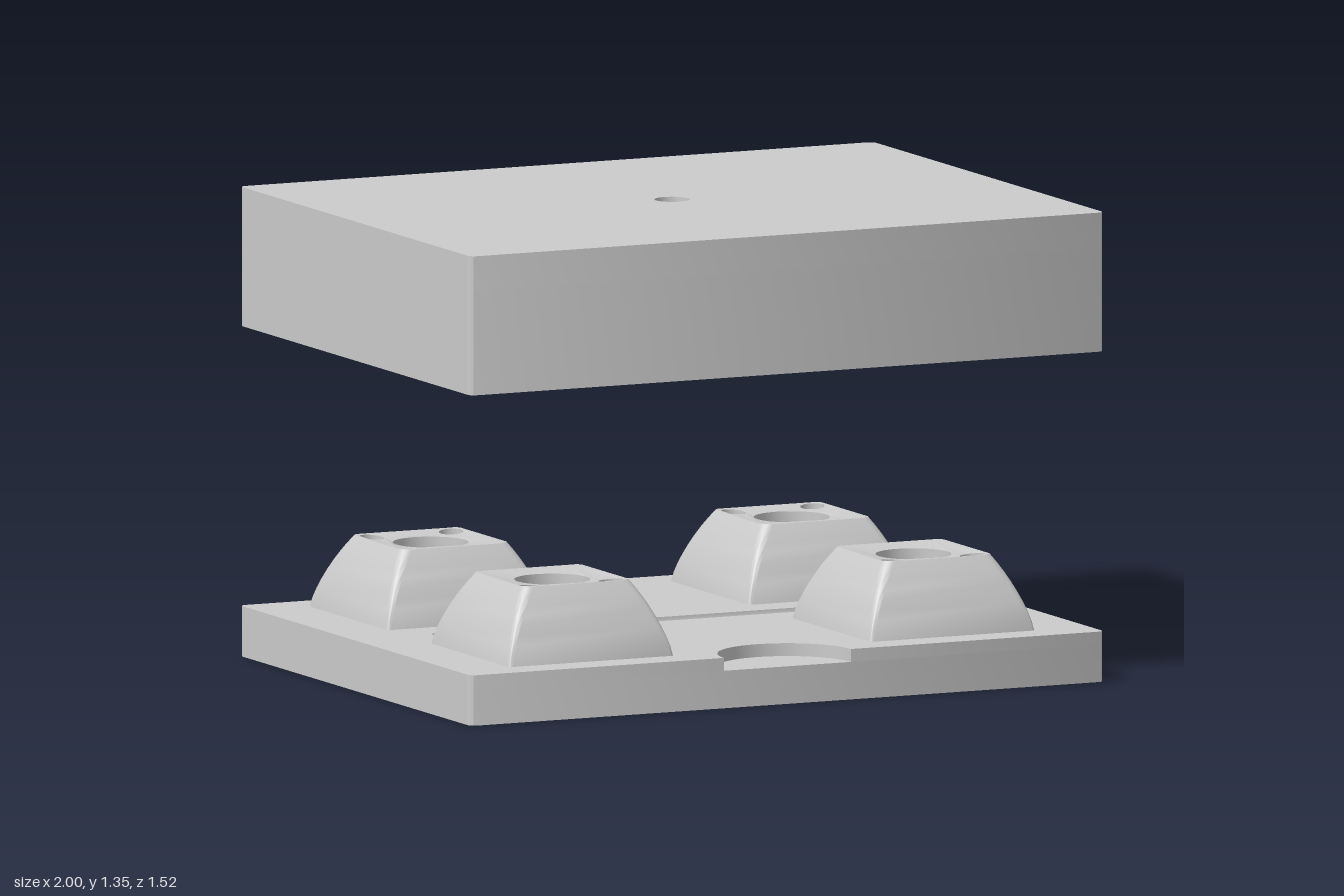
import * as THREE from 'three';
import { toCreasedNormals } from 'three/addons/utils/BufferGeometryUtils.js';

const solid = new THREE.MeshStandardMaterial({ color: 0xcccccc });
const thin = new THREE.MeshStandardMaterial({ color: 0xcccccc, side: THREE.DoubleSide });

const W = 1, D = 0.76;              // half width and half depth of both mould halves
const PLATE = 0.145, FLOOR = 0.108; // plate top and pry notch floor
const LID = 0.95, LID_TOP = 1.35;
const CX = 0.57, CZ = 0.4;          // key positions
const R = 0.036, RUN = 0.75;        // runner radius and half length
const PIN = 0.125, PIN_R = 0.035, BORE = 0.085;

function add(group, name, geometry, material = solid) {
  const mesh = new THREE.Mesh(geometry, material);
  mesh.name = name;
  group.add(mesh);
  return mesh;
}

const circle = (x, z, r) => new THREE.Path().absarc(x, z, r, 0, Math.PI * 2, true);

// Rounded square outline, counter-clockwise
function ring(h, c, n = 6) {
  const pts = [];
  for (let k = 0; k < 4; k++) {
    const mid = Math.PI / 4 + k * Math.PI / 2;
    const sx = Math.sign(Math.cos(mid)), sz = Math.sign(Math.sin(mid));
    for (let i = 0; i <= n; i++) {
      const a = (k + i / n) * Math.PI / 2;
      pts.push(new THREE.Vector2(sx * (h - c) + c * Math.cos(a), sz * (h - c) + c * Math.sin(a)));
    }
  }
  return pts;
}

// Block outline, optionally with a half-round notch in the front and back edges
function outline(notched) {
  const c = 0.02, s = new THREE.Shape();
  s.moveTo(-W + c, -D);
  if (notched) s.lineTo(-0.2, -D).absarc(0, -D, 0.2, Math.PI, 0, true);
  s.lineTo(W - c, -D).absarc(W - c, -D + c, c, -Math.PI / 2, 0, false);
  s.lineTo(W, D - c).absarc(W - c, D - c, c, 0, Math.PI / 2, false);
  if (notched) s.lineTo(0.2, D).absarc(0, D, 0.2, 0, Math.PI, true);
  s.lineTo(-W + c, D).absarc(-W + c, D - c, c, Math.PI / 2, Math.PI, false);
  s.lineTo(-W, -D + c).absarc(-W + c, -D + c, c, Math.PI, Math.PI * 1.5, false);
  return s;
}

function slab(shape, holes, y0, y1) {
  shape.holes.push(...holes);
  const g = new THREE.ExtrudeGeometry(shape, { depth: y1 - y0, bevelEnabled: false, curveSegments: 20 });
  return toCreasedNormals(g.rotateX(-Math.PI / 2).translate(0, y0, 0), 0.6);
}

const eachKey = (fn) => [-1, 1].flatMap((sx) => [-1, 1].flatMap((sz) => fn(sx * CX, sz * CZ, sz)));

// Key form: curved, tapering sides and a shallow dish on top
const keyForm = (base, top, height) => ({
  base, top, height,
  y: (x, z, t = 1) => t * (height + 0.008 * t * ((x * x + z * z) / (top * top) - 2)),
});

function keySides(form) {
  const rows = 8, pos = [], idx = [];
  let n = 0;
  for (let j = 0; j <= rows; j++) {
    const t = j / rows;
    const pts = ring(form.base - (form.base - form.top) * t ** 1.4, 0.01 + 0.02 * t);
    n = pts.length;
    for (const p of pts) pos.push(p.x, form.y(p.x, p.y, t), p.y);
  }
  for (let j = 0; j < rows; j++) for (let i = 0; i < n; i++) {
    const a = j * n + i, b = j * n + (i + 1) % n;
    idx.push(a, a + n, b, b, a + n, b + n);
  }
  const g = new THREE.BufferGeometry();
  g.setAttribute('position', new THREE.Float32BufferAttribute(pos, 3));
  g.setIndex(idx);
  g.computeVertexNormals();
  return toCreasedNormals(g, 0.6);
}

function keyTop(form, holes = []) {
  const s = new THREE.Shape(ring(form.top, 0.03));
  s.holes.push(...holes);
  const g = new THREE.ShapeGeometry(s, 20).rotateX(-Math.PI / 2);
  const p = g.attributes.position;
  for (let i = 0; i < p.count; i++) p.setY(i, form.y(p.getX(i), p.getZ(i)));
  g.computeVertexNormals();
  return g;
}

// Open wall of a pin hole, its rim following the dish
function pinWall(form, x, z) {
  const g = new THREE.CylinderGeometry(PIN_R, PIN_R, 1, 32, 1, true).translate(x, 0.5, z);
  const p = g.attributes.position;
  for (let i = 0; i < p.count; i++) if (p.getY(i) > 0.5) p.setY(i, form.y(p.getX(i), p.getZ(i)));
  return g;
}

// Outline of the runner channel with its two crossing gates
function runnerOutline(gate) {
  const half = [[-RUN, -R]];
  for (const g of [-CX, CX]) half.push([g - R, -R], [g - R, -gate], [g + R, -gate], [g + R, -R]);
  half.push([RUN, -R]);
  const pts = [...half, ...half.map(([x, z]) => [-x, -z])];
  return new THREE.Path(pts.map(([x, z]) => new THREE.Vector2(x, z)));
}

function runnerDepth(x, z) {
  const main = Math.hypot(Math.max(0, Math.abs(x) - RUN + R), z);
  const d = Math.min(main, Math.abs(Math.abs(x) - CX));
  return Math.sqrt(Math.max(0, R * R - d * d));
}

// Half-round channels as displaced grids; dir -1 sinks, +1 rises
function addRunners(group, y, dir, gate, sprue = 0) {
  const across = (i, n) => R * Math.sin((i / n - 0.5) * Math.PI);
  const patch = (nx, nz, fx, fz) => {
    const g = new THREE.PlaneGeometry(1, 1, nx, nz).rotateX(-Math.PI / 2);
    const p = g.attributes.position;
    for (let i = 0; i < p.count; i++) {
      const x = fx(i % (nx + 1)), z = fz(Math.floor(i / (nx + 1)));
      p.setXYZ(i, x, y + dir * runnerDepth(x, z), z);
    }
    // leave the mouth of the sprue open
    const id = g.index.array, keep = [];
    for (let i = 0; i < id.length; i += 3) {
      const t = [id[i], id[i + 1], id[i + 2]];
      if (!t.every((k) => Math.hypot(p.getX(k), p.getZ(k)) < sprue)) keep.push(...t);
    }
    g.setIndex(keep);
    g.computeVertexNormals();
    return g;
  };
  add(group, 'runner', patch(300, 16, (i) => -RUN + i * RUN / 150, (j) => across(j, 16)), thin);
  for (const sx of [-1, 1]) for (const sz of [-1, 1]) {
    add(group, 'gate', patch(16, 1, (i) => sx * CX + across(i, 16), (j) => sz * (R + j * (gate - R))), thin);
  }
}

export function createModel() {
  const model = new THREE.Group();

  // Lower half: plate with pin holes, pry notches and four key cores
  const lower = new THREE.Group();
  lower.name = 'lowerMould';
  const pins = (x, z, sz) => [circle(x, z, BORE), ...[-1, 1].map((s) => circle(x + s * PIN, z + sz * PIN, PIN_R))];
  add(lower, 'basePlate', slab(outline(false), eachKey(pins), 0, FLOOR));
  add(lower, 'plateTop', slab(outline(true), [...eachKey(pins), runnerOutline(0.135)], FLOOR, PLATE));
  addRunners(lower, PLATE, -1, 0.135);

  const core = keyForm(0.26, 0.17, 0.215);
  const rim = 0.108, step = 0.16;
  eachKey((x, z, sz) => {
    const key = new THREE.Group();
    key.name = 'keyCore';
    key.position.set(x, PLATE, z);
    add(key, 'coreSides', keySides(core), thin);
    // shape y runs toward -z
    const holes = [circle(0, 0, rim), ...[-1, 1].map((s) => circle(s * PIN, -sz * PIN, PIN_R))];
    add(key, 'coreTop', keyTop(core, holes), thin);
    const bore = [[rim, core.y(rim, 0)], [rim, step], [BORE, step], [BORE, 0]];
    const lathe = new THREE.LatheGeometry(bore.map(([r, y]) => new THREE.Vector2(r, y)), 40);
    add(key, 'steppedBore', toCreasedNormals(lathe, 0.6), thin);
    for (const s of [-1, 1]) add(key, 'pinHole', pinWall(core, s * PIN, sz * PIN), thin);
    lower.add(key);
    return [];
  });

  // Upper half: block with four key cavities, runner and sprue
  const upper = new THREE.Group();
  upper.name = 'upperMould';
  const cavity = keyForm(0.293, 0.195, 0.24);
  const mouths = eachKey((x, z) => [new THREE.Path(ring(cavity.base, 0.01).map((p) => p.add(new THREE.Vector2(x, z))))]);
  add(upper, 'blockBottom', slab(outline(false), [...mouths, runnerOutline(0.1)], LID, 1.25));
  add(upper, 'blockTop', slab(outline(false), [circle(0, 0, 0.05)], 1.25, LID_TOP));
  addRunners(upper, LID, 1, 0.1, 0.034);
  eachKey((x, z) => {
    add(upper, 'cavitySides', keySides(cavity), thin).position.set(x, LID, z);
    add(upper, 'cavityTop', keyTop(cavity), thin).position.set(x, LID, z);
    return [];
  });

  // Tapered sprue, trimmed to the runner's roof
  const sprue = new THREE.CylinderGeometry(0.05, 0.034, 1, 40, 1, true);
  const p = sprue.attributes.position;
  for (let i = 0; i < p.count; i++) {
    p.setY(i, p.getY(i) > 0 ? LID_TOP : LID + runnerDepth(p.getX(i), p.getZ(i)));
  }
  add(upper, 'sprue', sprue, thin);

  model.add(lower, upper);
  return model;
}
